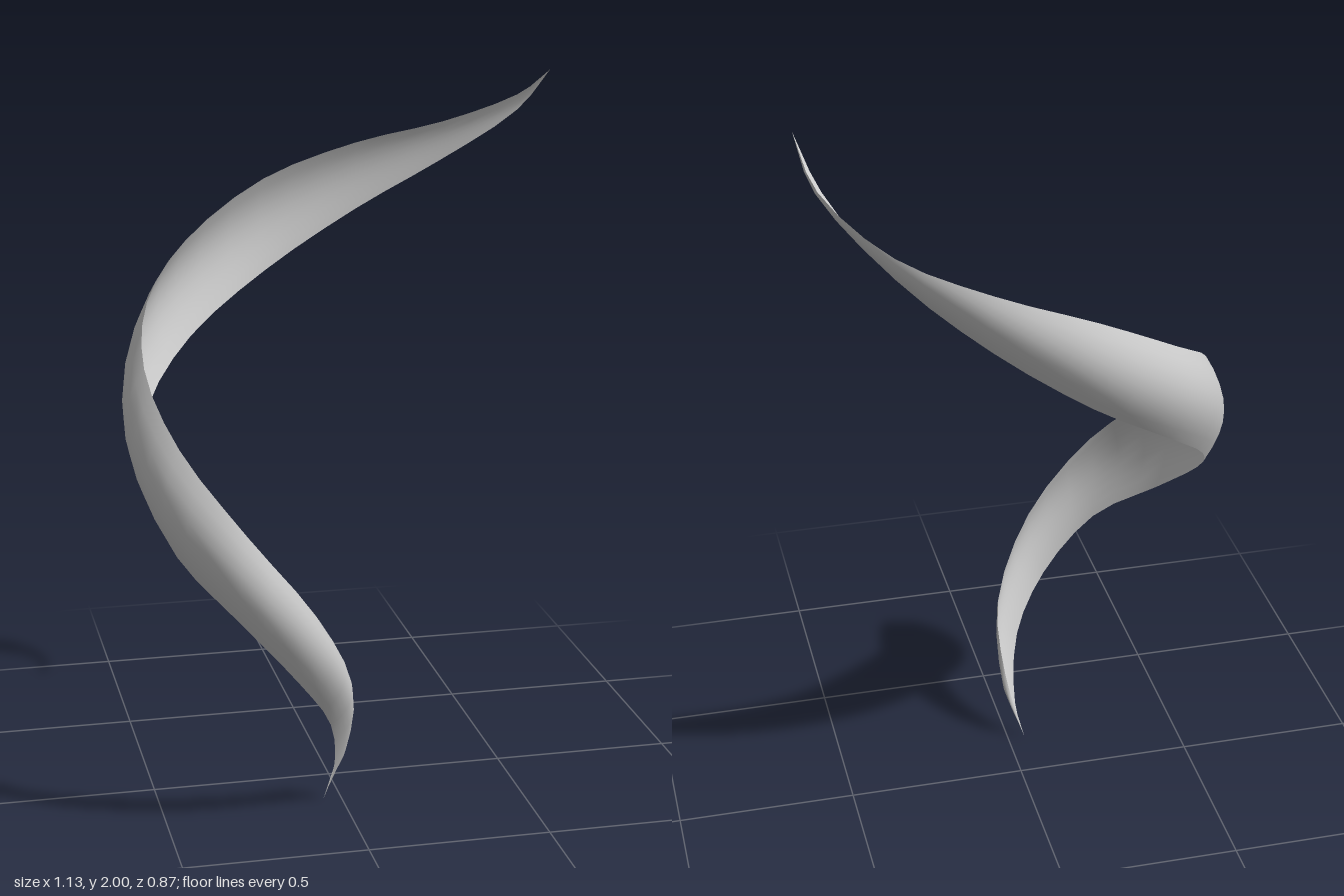
import * as THREE from 'three';

// Guide points [x, y, z] for the two edges of the ribbon, from bottom tip to top tip
const UPPER = [
  [-0.05, 0, 0.16], [0.0, 0.21, 0.2], [-0.005, 0.4, 0.31], [-0.12, 0.63, 0.4],
  [-0.3, 0.86, 0.395], [-0.45, 1.06, 0.25], [-0.51, 1.23, 0.05], [-0.475, 1.37, -0.12],
  [-0.34, 1.5, -0.295], [-0.1, 1.645, -0.4], [0.16, 1.74, -0.385], [0.38, 1.81, -0.265],
  [0.53, 1.91, -0.05], [0.56, 2, 0.14],
];
const LOWER = [
  [-0.05, 0, 0.16], [-0.03, 0.1, 0.2], [-0.06, 0.28, 0.3], [-0.16, 0.435, 0.375],
  [-0.31, 0.61, 0.375], [-0.46, 0.765, 0.24], [-0.52, 0.93, 0.05], [-0.475, 1.08, -0.13],
  [-0.33, 1.23, -0.29], [-0.1, 1.39, -0.375], [0.15, 1.56, -0.34], [0.36, 1.715, -0.2],
  [0.51, 1.88, 0.02], [0.56, 2, 0.14],
];

const edge = (points) => new THREE.CatmullRomCurve3(points.map((p) => new THREE.Vector3(...p)));

// Lofts between the edges; every cross-section is an arc bulging outward
function ribbonGeometry(steps, across, bulge) {
  const upper = edge(UPPER);
  const lower = edge(LOWER);
  const positions = [];
  const indices = [];
  for (let i = 0; i <= steps; i++) {
    const t = i / steps;
    const top = upper.getPoint(t);
    const bottom = lower.getPoint(t);
    const along = upper.getTangent(t).add(lower.getTangent(t));
    const outward = new THREE.Vector3(along.z, 0, -along.x).normalize();
    const depth = bulge * top.distanceTo(bottom);
    for (let j = 0; j <= across; j++) {
      const v = j / across;
      const p = bottom.clone().lerp(top, v).addScaledVector(outward, depth * 4 * v * (1 - v));
      positions.push(p.x, p.y, p.z);
      if (i < steps && j < across) {
        const a = i * (across + 1) + j;
        const b = a + across + 1;
        // Skip the collapsed triangles at the pointed ends
        if (i > 0) indices.push(a, a + 1, b + 1);
        if (i < steps - 1) indices.push(a, b + 1, b);
        else indices.push(a, a + 1, b);
      }
    }
  }
  // The last row is a single point, so one triangle per strip is enough there
  const geometry = new THREE.BufferGeometry();
  geometry.setAttribute('position', new THREE.Float32BufferAttribute(positions, 3));
  geometry.setIndex(indices);
  geometry.computeVertexNormals();
  return geometry;
}

export function createModel() {
  const group = new THREE.Group();
  group.name = 'spiralRibbon';
  const lightGrey = new THREE.MeshStandardMaterial({ color: 0xcccccc, side: THREE.DoubleSide });
  lightGrey.name = 'lightGrey';

  // Tapered, curled ribbon
  const ribbon = new THREE.Mesh(ribbonGeometry(39, 8, 0.17), lightGrey);
  ribbon.name = 'ribbon';
  group.add(ribbon);
  return group;
}
